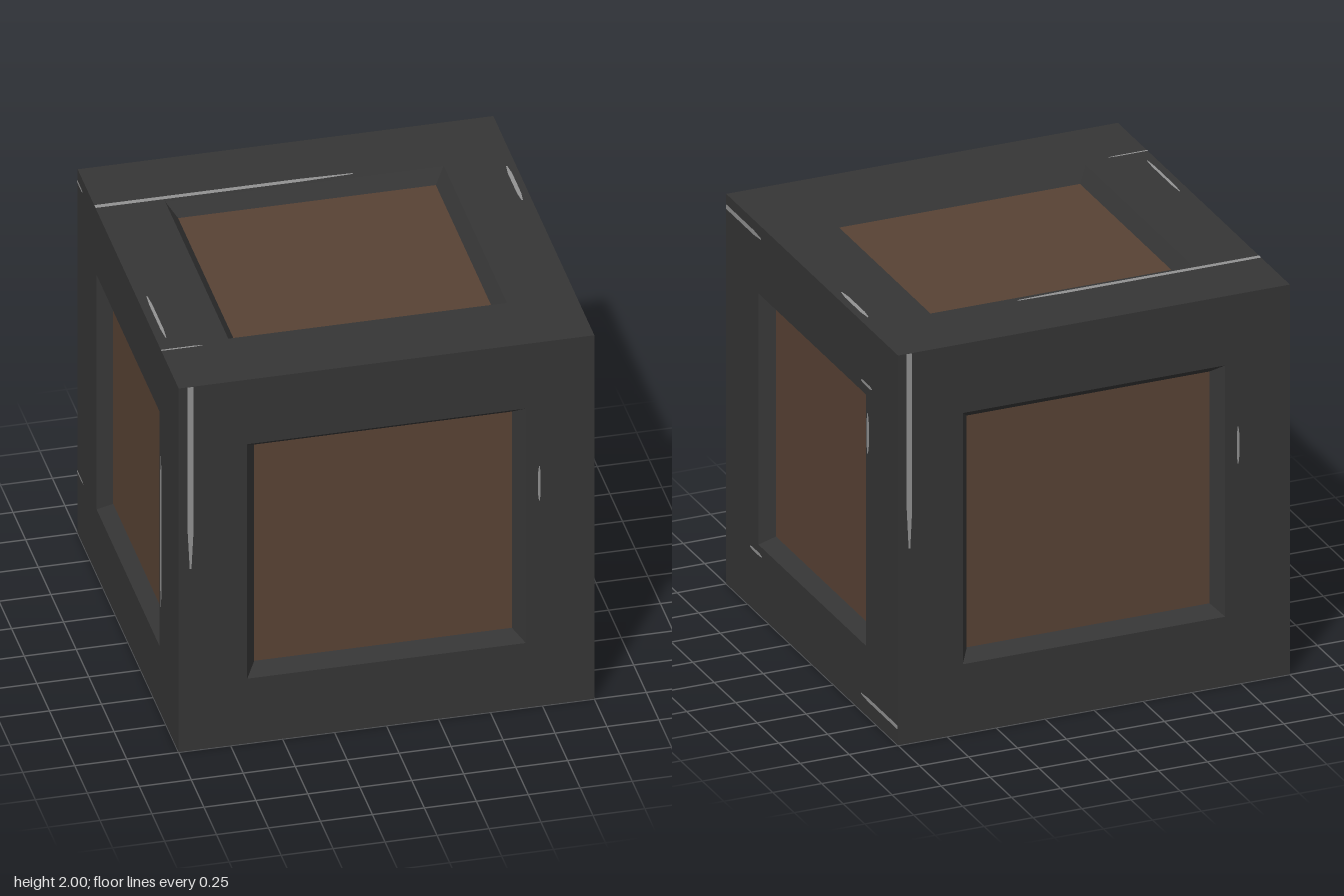
import * as THREE from 'three';

const frameMat = new THREE.MeshStandardMaterial({ color: 0x353535 });
frameMat.name = 'charcoal';
const panelMat = new THREE.MeshStandardMaterial({ color: 0x584234 });
panelMat.name = 'brown';
const scratchMat = new THREE.MeshStandardMaterial({ color: 0x919191 });
scratchMat.name = 'bare metal grey';

const DEPTH = 0.068, BEVEL = 0.05;

function add(group, name, geometry, material) {
  const mesh = new THREE.Mesh(geometry, material);
  mesh.name = name;
  group.add(mesh);
  return mesh;
}

function rectPoints(w, h) {
  return [[-w, -h], [w, -h], [w, h], [-w, h]].map(([x, y]) => new THREE.Vector2(x, y));
}

// Four sloping walls from the opening down to the recessed panel
function bevelGeometry(w, h) {
  const outer = rectPoints(w, h), inner = rectPoints(w - BEVEL, h - BEVEL);
  const pos = [];
  for (let i = 0; i < 4; i++) {
    const j = (i + 1) % 4;
    const a = [outer[i].x, outer[i].y, 0], b = [outer[j].x, outer[j].y, 0];
    const c = [inner[j].x, inner[j].y, -DEPTH], d = [inner[i].x, inner[i].y, -DEPTH];
    pos.push(...a, ...b, ...c, ...a, ...c, ...d);
  }
  const g = new THREE.BufferGeometry();
  g.setAttribute('position', new THREE.Float32BufferAttribute(pos, 3));
  g.computeVertexNormals();
  return g;
}

// Thin sliver running from the start to the end, blunt where it meets a cube edge
function scratchGeometry([x0, y0, x1, y1, width]) {
  const a = new THREE.Vector2(x0, y0), b = new THREE.Vector2(x1, y1);
  const dir = b.clone().sub(a).normalize();
  const side = new THREE.Vector2(-dir.y, dir.x);
  const atEdge = (p) => Math.max(Math.abs(p.x), Math.abs(p.y)) > 0.99;
  const ends = [atEdge(a) ? 1 : 0.3, 1, 1, atEdge(b) ? 1 : 0.3];
  const along = [0, 0.2, 0.8, 1];
  const edge = (s) => along.map((t, i) =>
    a.clone().lerp(b, t).addScaledVector(side, s * ends[i] * width / 2));
  return new THREE.ShapeGeometry(new THREE.Shape([...edge(-1), ...edge(1).reverse()]));
}

function makeSide(name, w, h, scratches) {
  const side = new THREE.Group();
  side.name = name;
  const border = new THREE.Shape(rectPoints(1, 1));
  border.holes.push(new THREE.Path(rectPoints(w, h).reverse()));
  add(side, 'frameBorder', new THREE.ShapeGeometry(border), frameMat).position.z = 1;
  add(side, 'recessBevel', bevelGeometry(w, h), frameMat).position.z = 1;
  add(side, 'recessedPanel', new THREE.PlaneGeometry(2 * (w - BEVEL), 2 * (h - BEVEL)), panelMat)
    .position.z = 1 - DEPTH;
  for (const s of scratches) add(side, 'scratch', scratchGeometry(s), scratchMat).position.z = 1.002;
  return side;
}

export function createModel() {
  const model = new THREE.Group();
  model.name = 'crate';
  const q = Math.PI / 2;

  // Scratches: start x, start y, end x, end y, width, in each side's own plane
  const frontMarks = [[-0.943, 0, -0.943, 1, 0.028], [0.735, 0.13, 0.735, 0.32, 0.013]];
  const topMarks = [[-1, 0.657, 0.24, 0.657, 0.026], [0.955, 0.24, 0.955, 0.55, 0.02],
    [-0.952, -0.55, -0.952, -0.17, 0.015], [-1, -0.655, -0.8, -0.655, 0.01]];
  const rightMarks = [[-1, 0.937, -0.59, 0.937, 0.024], [0.57, 0.7, 0.7, 0.7, 0.016],
    [0.65, 0.35, 0.65, 0.56, 0.026], [-0.72, -0.69, -0.58, -0.69, 0.016],
    [0.57, -0.91, 1, -0.91, 0.02]];
  const leftMarks = [[0.655, -0.41, 0.655, 0.42, 0.035], [-1, 0.935, -0.9, 0.935, 0.015],
    [-1, -0.66, -0.88, -0.66, 0.012]];

  // name, half width, half height, x turn, y turn, scratches
  const sides = [
    ['frontSide', 0.67, 0.645, 0, 0, frontMarks],
    ['backSide', 0.67, 0.645, 0, 2 * q, frontMarks],
    ['leftSide', 0.625, 0.645, 0, q, rightMarks],
    ['rightSide', 0.625, 0.645, 0, -q, leftMarks],
    ['topSide', 0.67, 0.625, -q, 0, topMarks],
    ['bottomSide', 0.67, 0.625, q, 0, topMarks],
  ];
  for (const [name, w, h, rx, ry, marks] of sides) {
    const side = makeSide(name, w, h, marks);
    side.rotation.set(rx, ry, 0);
    side.position.y = 1;
    model.add(side);
  }
  return model;
}
